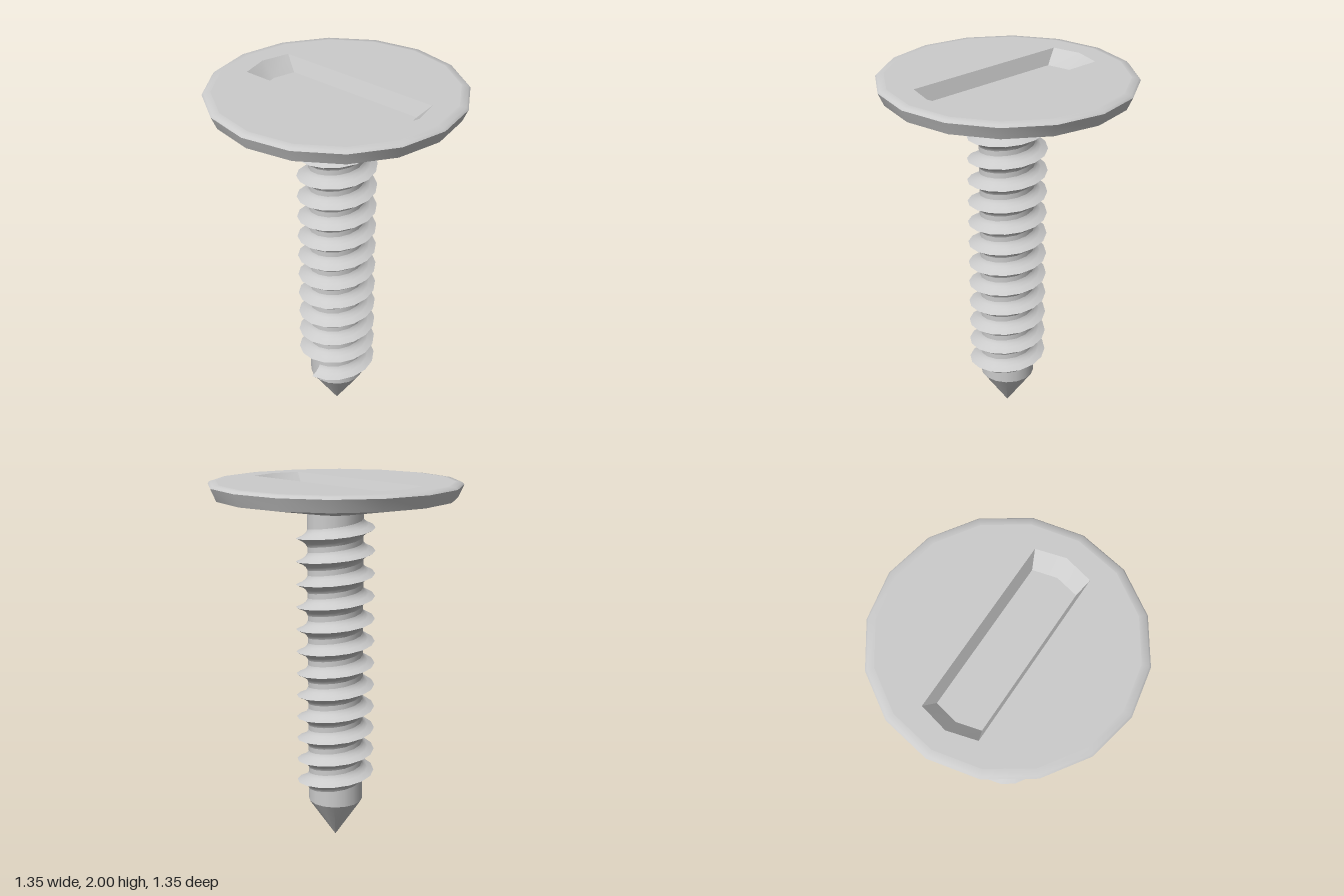
import * as THREE from 'three';
import { toCreasedNormals } from 'three/addons/utils/BufferGeometryUtils.js';

const SIDES = 16;
const steel = new THREE.MeshStandardMaterial({ color: 0xcccccc, side: THREE.DoubleSide });

function addPart(group, name, geometry) {
  const mesh = new THREE.Mesh(geometry, steel);
  mesh.name = name;
  group.add(mesh);
}

function lathe(points, crease) {
  const profile = points.map(([r, y]) => new THREE.Vector2(r, y));
  return toCreasedNormals(new THREE.LatheGeometry(profile, SIDES), crease);
}

function indexed(positions, index) {
  const geometry = new THREE.BufferGeometry();
  geometry.setAttribute('position', new THREE.Float32BufferAttribute(positions, 3));
  geometry.setIndex(index);
  return geometry;
}

// Six-sided slot outline with slightly pointed ends, counter-clockwise
function slotOutline(w, l, tip) {
  return [[w, -l], [w, l], [0, tip], [-w, l], [-w, -l], [0, -tip]].map(([x, y]) => new THREE.Vector2(x, y));
}

// Flat top of the head with the slot cut out
function headTop(rim, outline) {
  const shape = new THREE.Shape();
  for (let i = 0; i < SIDES; i++) {
    const a = (i / SIDES) * Math.PI * 2;
    if (i) shape.lineTo(rim * Math.cos(a), rim * Math.sin(a));
    else shape.moveTo(rim, 0);
  }
  shape.closePath();
  shape.holes.push(new THREE.Path(outline));
  return new THREE.ShapeGeometry(shape).rotateX(-Math.PI / 2).translate(0, 2, 0);
}

// Sloping slot walls and floor
function slotRecess(top, floor, depth) {
  const n = top.length, positions = [], index = [];
  top.forEach(p => positions.push(p.x, p.y, 0));
  floor.forEach(p => positions.push(p.x, p.y, -depth));
  positions.push(0, 0, -depth);
  for (let i = 0; i < n; i++) {
    const j = (i + 1) % n;
    index.push(i, j, n + j, i, n + j, n + i, n + i, n + j, 2 * n);
  }
  const geometry = indexed(positions, index).rotateX(-Math.PI / 2).translate(0, 2, 0);
  return toCreasedNormals(geometry, 0.6);
}

// Ridge cross-section swept up a right-handed helix, closed at both ends
function threadRidge(turns, pitch, startY, startAngle) {
  const section = [[0.145, -0.062], [0.151, -0.045], [0.16, -0.03], [0.178, -0.016], [0.213, 0],
    [0.178, 0.016], [0.16, 0.03], [0.151, 0.045], [0.145, 0.062]];
  const m = section.length, steps = turns * SIDES, positions = [], index = [];
  for (let i = 0; i <= steps; i++) {
    const a = startAngle + (i / SIDES) * Math.PI * 2;
    const y = startY + (i / SIDES) * pitch;
    for (const [r, dy] of section) positions.push(r * Math.cos(a), y + dy, -r * Math.sin(a));
  }
  for (let i = 0; i < steps; i++) {
    for (let j = 0; j < m - 1; j++) {
      const p = i * m + j, q = p + m;
      index.push(p, q, q + 1, p, q + 1, p + 1);
    }
  }
  const last = steps * m;
  for (let j = 1; j < m - 1; j++) {
    index.push(0, j, j + 1, last, last + j + 1, last + j);
  }
  return toCreasedNormals(indexed(positions, index), 0.9);
}

export function createModel() {
  const screw = new THREE.Group();
  screw.name = 'screw';

  // Wide shallow head with a single slot
  const head = new THREE.Group();
  head.name = 'head';
  const slotTop = slotOutline(0.155, 0.48, 0.52);
  addPart(head, 'headRim', lathe([[0.14, 1.835], [0.645, 1.918], [0.675, 1.985], [0.665, 1.996], [0.63, 2]], 0.9));
  addPart(head, 'headTop', headTop(0.63, slotTop));
  addPart(head, 'slot', slotRecess(slotTop, slotOutline(0.125, 0.41, 0.44), 0.075));
  screw.add(head);

  // Shank, point and thread
  addPart(screw, 'shank', lathe([[0.15, 0.22], [0.15, 1.845]], 0.6));
  addPart(screw, 'point', lathe([[0, 0], [0.15, 0.22]], 0.6));
  addPart(screw, 'thread', threadRidge(12, 0.124, 0.284, Math.PI));
  return screw;
}
